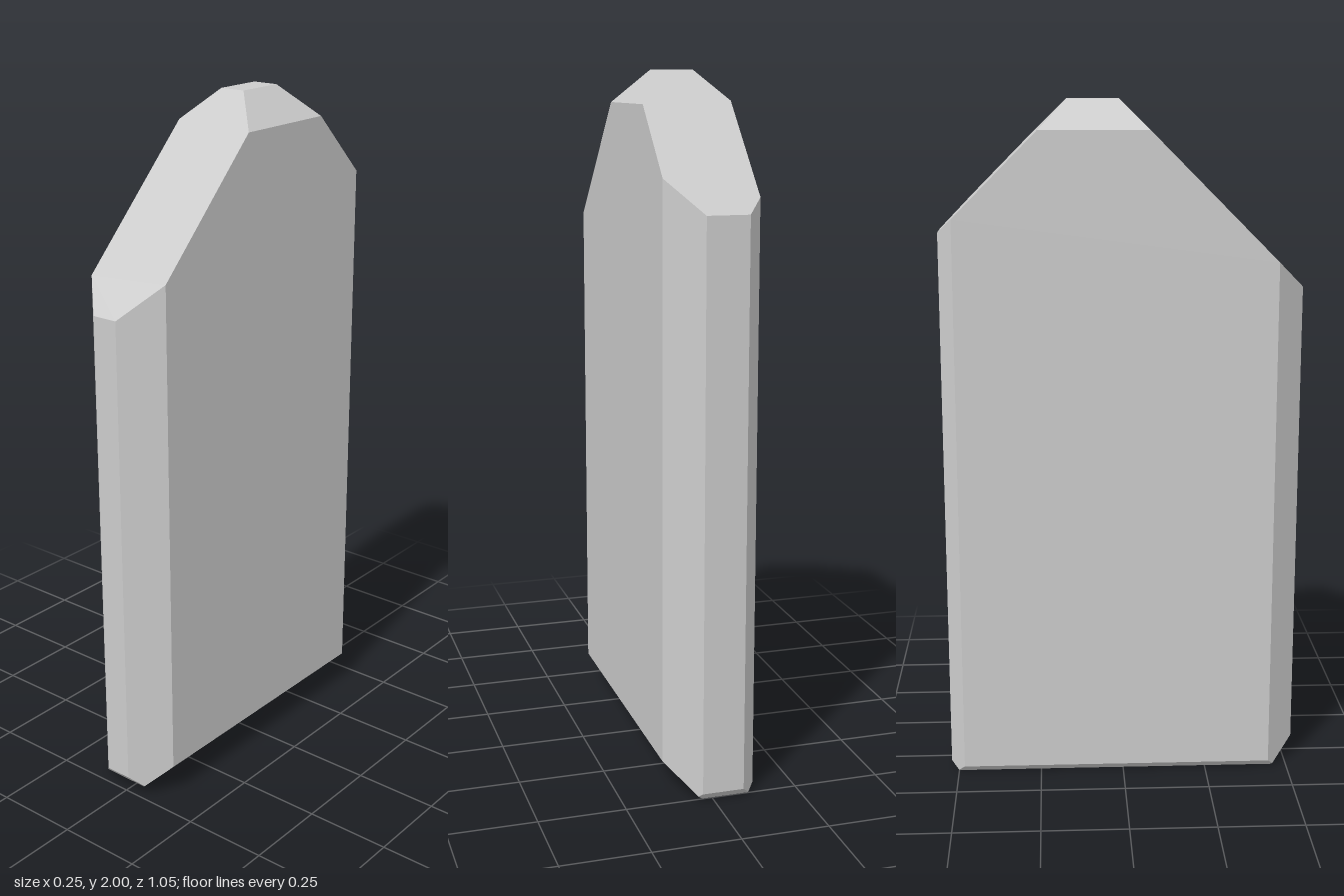
import * as THREE from 'three';
import { ConvexGeometry } from 'three/addons/geometries/ConvexGeometry.js';

// Cutting planes: [nx, ny, nz, d] keeps n.p <= d
const CUTS = [
  // box sides
  [1, 0, 0, 0.125], [-1, 0, 0, 0.127], [0, 1, 0, 2], [0, -1, 0, 0], [0, 0, 1, 0.523], [0, 0, -1, 0.523],
  // chamfers on the upright edges
  [1, 0, 1, 0.554], [-1, 0, 1, 0.57], [1, 0, -1, 0.557], [-1, 0, -1, 0.609],
  // top chamfers: sides, then the long front and back slopes
  [1, 1, 0, 2.034], [-1, 1, 0, 2.044], [0, 1, 1, 1.992], [0, 1, -1, 2.156],
  // bottom chamfers
  [1, -1, 0, 0.029], [-1, -1, 0, 0.105], [0, -1, 1, 0.454], [0, -1, -1, 0.498],
];

// Corners of the solid: every meeting point of three planes that no other plane cuts away
function cornersOf(cuts) {
  const normals = cuts.map(([x, y, z]) => new THREE.Vector3(x, y, z));
  const corners = [];
  for (let i = 0; i < cuts.length; i++) {
    for (let j = i + 1; j < cuts.length; j++) {
      for (let k = j + 1; k < cuts.length; k++) {
        const [a, b, c] = [normals[i], normals[j], normals[k]];
        const bc = b.clone().cross(c);
        const det = a.dot(bc);
        if (Math.abs(det) < 1e-6) continue;
        const p = bc.multiplyScalar(cuts[i][3])
          .addScaledVector(c.clone().cross(a), cuts[j][3])
          .addScaledVector(a.clone().cross(b), cuts[k][3])
          .divideScalar(det);
        const inside = cuts.every((cut, n) => normals[n].dot(p) <= cut[3] + 1e-6);
        if (inside && !corners.some((q) => q.distanceTo(p) < 1e-4)) corners.push(p);
      }
    }
  }
  return corners;
}

export function createModel() {
  const group = new THREE.Group();
  group.name = 'stoneSlab';

  // Upright faceted slab
  const slab = new THREE.Mesh(
    new ConvexGeometry(cornersOf(CUTS)),
    new THREE.MeshStandardMaterial({ color: 0xcccccc, flatShading: true }),
  );
  slab.name = 'slab';
  group.add(slab);

  return group;
}
